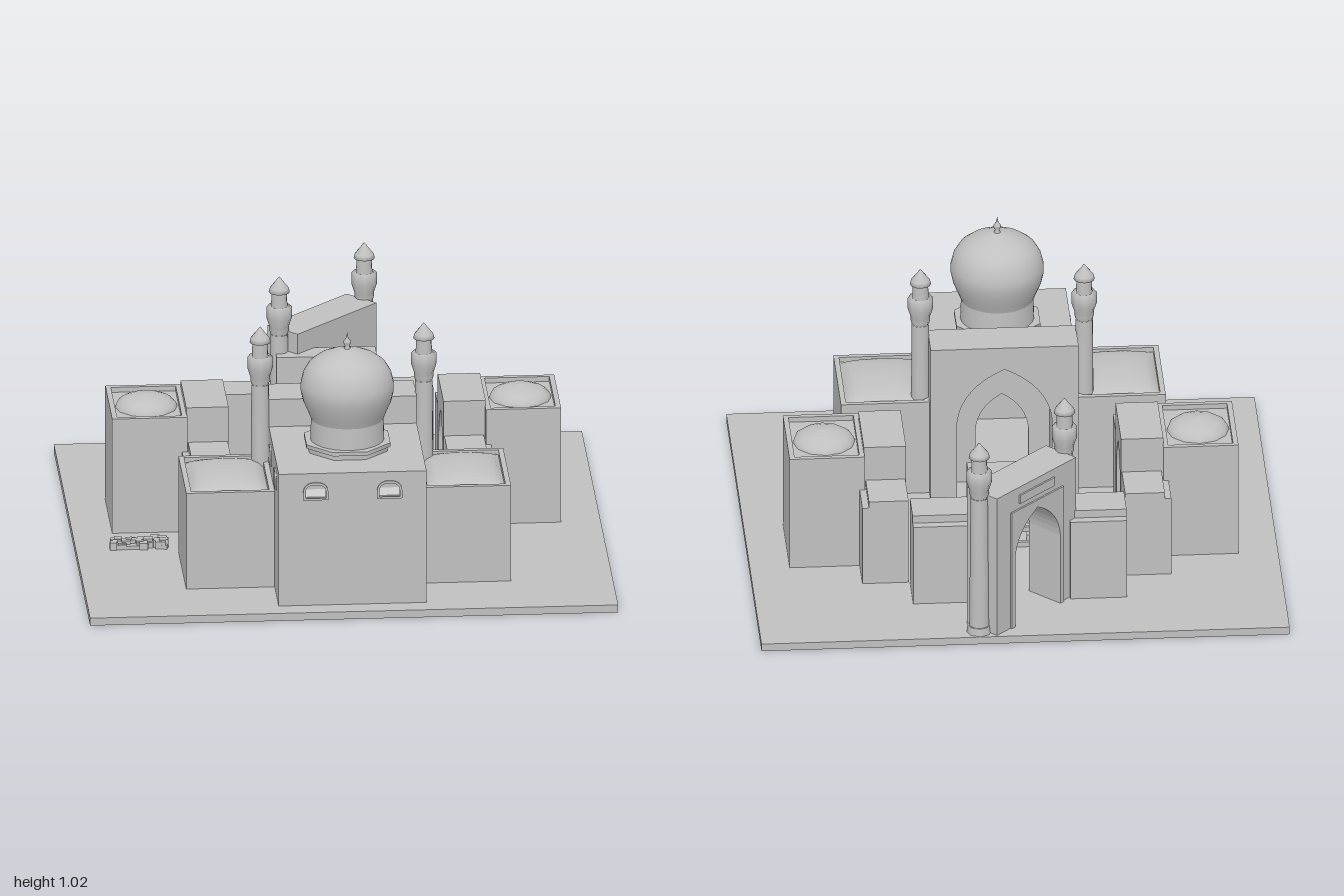
import * as THREE from 'three';

const stone = new THREE.MeshStandardMaterial({ color: 0xc0c0c0 });
stone.name = 'stone';
const glass = new THREE.MeshStandardMaterial({ color: 0xf8f8f8 });
glass.name = 'paleGlass';
const G = 0.03; // ground level, top of the plinth

function add(parent, name, geometry, x = 0, y = 0, z = 0, material = stone) {
  const m = new THREE.Mesh(geometry, material);
  m.name = name;
  m.position.set(x, y, z);
  parent.add(m);
  return m;
}

// box given by its limits
function block(parent, name, x0, x1, y0, y1, z0, z1) {
  return add(parent, name, new THREE.BoxGeometry(Math.abs(x1 - x0), y1 - y0, Math.abs(z1 - z0)),
    (x0 + x1) / 2, (y0 + y1) / 2, (z0 + z1) / 2);
}

function lathe(points, segments) {
  return new THREE.LatheGeometry(points.map(p => new THREE.Vector2(p[0], p[1])), segments);
}

function extrude(shape, depth) {
  return new THREE.ExtrudeGeometry(shape, { depth, bevelEnabled: false, curveSegments: 8 })
    .translate(0, 0, -depth / 2);
}

// right-to-left line of a pointed arch, from foot to foot
function archLine(path, half, foot, spring, apex) {
  path.lineTo(half, foot);
  path.lineTo(half, spring);
  path.quadraticCurveTo(half * 0.92, spring + (apex - spring) * 0.65, 0, apex);
  path.quadraticCurveTo(-half * 0.92, spring + (apex - spring) * 0.65, -half, spring);
  path.lineTo(-half, foot);
}

// wall block with an open pointed arch, centred on its own z
function archBlock(width, height, half, spring, apex, depth) {
  const s = new THREE.Shape();
  s.moveTo(-width / 2, G);
  s.lineTo(-width / 2, height);
  s.lineTo(width / 2, height);
  s.lineTo(width / 2, G);
  archLine(s, half, G, spring, apex);
  return extrude(s, depth);
}

function rectShape(w, y0, y1) {
  const s = new THREE.Shape();
  s.moveTo(-w / 2, y0);
  s.lineTo(w / 2, y0);
  s.lineTo(w / 2, y1);
  s.lineTo(-w / 2, y1);
  s.closePath();
  return s;
}

function windowPath(x, half, y0, y1) {
  const p = new THREE.Path();
  p.moveTo(x - half, y0);
  p.lineTo(x - half, y0 + 0.025);
  p.quadraticCurveTo(x - half, y1, x, y1);
  p.quadraticCurveTo(x + half, y1, x + half, y0 + 0.025);
  p.lineTo(x + half, y0);
  p.closePath();
  return p;
}

// hall wall with two arched windows; local +z is outside
function windowWall(width, height, xs, thick) {
  const g = new THREE.Group();
  g.name = 'windowWall';
  const s = rectShape(width, G, height);
  xs.forEach(x => s.holes.push(windowPath(x, 0.038, 0.462, 0.515)));
  add(g, 'wall', extrude(s, thick), 0, 0, -thick / 2);
  xs.forEach(x => {
    const f = new THREE.Shape(windowPath(x, 0.048, 0.454, 0.525).getPoints(8));
    f.holes.push(windowPath(x, 0.038, 0.462, 0.515));
    add(g, 'windowFrame', extrude(f, 0.006), 0, 0, 0.003);
    add(g, 'windowPane', new THREE.BoxGeometry(0.08, 0.036, 0.006), x, 0.478, -0.012, glass);
    add(g, 'windowHead', new THREE.BoxGeometry(0.08, 0.026, 0.008), x, 0.507, -0.012);
  });
  return g;
}

// minaret whose balcony and cap follow its top height
function minaret(parent, x, z, top) {
  const g = new THREE.Group();
  g.name = 'minaret';
  g.position.set(x, 0, z);
  add(g, 'shaft', lathe([[0.038, G], [0.033, top - 0.23]], 16));
  add(g, 'base', new THREE.CylinderGeometry(0.044, 0.048, 0.03, 8), 0, G + 0.015, 0);
  add(g, 'balcony', lathe([[0.033, top - 0.23], [0.037, top - 0.215], [0.037, top - 0.2],
    [0.048, top - 0.165], [0.048, top - 0.12], [0.03, top - 0.12]], 8));
  add(g, 'lantern', new THREE.CylinderGeometry(0.029, 0.031, 0.06, 12), 0, top - 0.09, 0);
  add(g, 'cap', lathe([[0.028, top - 0.065], [0.04, top - 0.062], [0.036, top - 0.045],
    [0.012, top - 0.015], [0.005, top - 0.005], [0, top]], 12));
  parent.add(g);
}

// box with a raised rim round a slightly sunken roof
function rimmedBlock(parent, name, x0, x1, z0, z1, top, sink) {
  const g = new THREE.Group(), t = 0.02;
  g.name = name;
  parent.add(g);
  const w = Math.abs(x1 - x0), d = z1 - z0;
  block(g, 'body', x0, x1, G, top - sink, z0, z1);
  const rim = rectShape(w, -d / 2, d / 2);
  rim.holes.push(new THREE.Path(rectShape(w - 2 * t, t - d / 2, d / 2 - t).getPoints().reverse()));
  add(g, 'roofRim', extrude(rim, sink).rotateX(-Math.PI / 2),
    (x0 + x1) / 2, top - sink / 2, (z0 + z1) / 2);
  return g;
}

export function createModel() {
  const model = new THREE.Group();
  model.name = 'domedCourtyardBuilding';
  block(model, 'plinth', -1, 1, 0, G, -0.95, 0.95);

  // main hall
  const hall = new THREE.Group();
  hall.name = 'mainHall';
  model.add(hall);
  const front = windowWall(0.56, 0.56, [-0.14, 0.14], 0.03);
  front.position.z = 0.87;
  hall.add(front);
  for (const s of [-1, 1]) {
    const side = windowWall(0.52, 0.56, [-0.15, 0.1].map(v => -s * v), 0.03);
    side.rotation.y = s * Math.PI / 2;
    side.position.set(s * 0.28, 0, 0.605);
    hall.add(side);
  }
  block(hall, 'hallRoof', -0.279, 0.279, 0.53, 0.56, 0.35, 0.869);
  add(hall, 'greatArch', archBlock(0.56, 0.67, 0.18, 0.36, 0.58, 0.17), 0, 0, 0.265);
  add(hall, 'innerDoorWall', archBlock(0.5, 0.62, 0.1, 0.25, 0.4, 0.02), 0, 0, 0.34);

  // great dome
  const dome = new THREE.Group();
  dome.name = 'greatDome';
  dome.position.z = 0.585;
  model.add(dome);
  add(dome, 'octagonBase', new THREE.CylinderGeometry(0.172, 0.172, 0.015, 8), 0, 0.588, 0).rotation.y = Math.PI / 8;
  add(dome, 'octagonFoot', new THREE.CylinderGeometry(0.16, 0.16, 0.025, 8), 0, 0.57, 0).rotation.y = Math.PI / 8;
  add(dome, 'drum', new THREE.CylinderGeometry(0.137, 0.14, 0.09, 32), 0, 0.64, 0);
  add(dome, 'shell', lathe([[0.138, 0.68], [0.15, 0.71], [0.167, 0.75], [0.176, 0.79], [0.176, 0.82],
    [0.166, 0.86], [0.145, 0.895], [0.11, 0.922], [0.065, 0.942], [0.025, 0.954], [0, 0.958]], 40));
  add(dome, 'finial', lathe([[0.016, 0.95], [0.008, 0.965], [0.014, 0.978], [0.014, 0.985],
    [0.005, 0.997], [0, 1.02]], 12));

  for (const s of [-1, 1]) {
    minaret(model, s * 0.31, 0.31, 0.95);

    // vaulted wings beside the hall
    const wing = rimmedBlock(model, 'vaultedWing', s * 0.28, s * 0.615, 0.25, 0.66, 0.415, 0.02);
    const vault = new THREE.PlaneGeometry(0.294, 0.37, 16, 16).rotateX(-Math.PI / 2);
    const p = vault.attributes.position;
    for (let i = 0; i < p.count; i++) {
      const u = p.getX(i) / 0.147, v = p.getZ(i) / 0.185;
      p.setY(i, 0.045 * Math.sqrt(Math.max(0, (1 - u * u) * (1 - v * v))));
    }
    vault.computeVertexNormals();
    add(wing, 'vault', vault, s * 0.4475, 0.396, 0.455);

    // side towers with shallow domes
    const tower = rimmedBlock(model, 'sideTower', s * 0.565, s * 0.85, -0.33, 0.035, 0.49, 0.02);
    add(tower, 'shallowDome', lathe([[0.118, 0.47], [0.112, 0.487], [0.09, 0.503], [0.055, 0.516], [0, 0.524]], 12),
      s * 0.708, 0, -0.15);

    // arched bay facing the courtyard
    const bay = add(model, 'sideArch', archBlock(0.3, 0.515, 0.1, 0.28, 0.43, 0.16), s * 0.487, 0, -0.15);
    bay.rotation.y = -s * Math.PI / 2;

    // courtyard walls with a lower outer ledge
    for (const [z0, z1] of [[-0.48, -0.3], [0, 0.18]]) {
      block(model, 'courtyardWall', s * 0.41, s * 0.56, G, 0.376, z0, z1);
      block(model, 'wallLedge', s * 0.56, s * 0.585, G, 0.35, z0, z1);
    }
    block(model, 'backWing', s * 0.19, s * 0.405, G, 0.386, -0.625, -0.48);
    block(model, 'backLedge', s * 0.19, s * 0.405, G, 0.355, -0.66, -0.625);
  }

  // back arch and the passage wall behind it
  add(model, 'backArch', archBlock(0.38, 0.53, 0.12, 0.28, 0.45, 0.1), 0, 0, -0.53);
  add(model, 'passageWall', new THREE.BoxGeometry(0.02, 0.43, 0.17), 0.123, 0.245, -0.66).rotation.y = -0.19;

  // gate turned to the back right corner
  const gate = new THREE.Group();
  gate.name = 'turnedGate';
  gate.position.set(0, 0, -0.727);
  gate.rotation.y = -Math.PI * 0.75;
  model.add(gate);
  add(gate, 'gateArch', archBlock(0.455, 0.61, 0.13, 0.32, 0.49, 0.15));
  add(gate, 'archFrame', (() => {
    const s = new THREE.Shape();
    s.moveTo(-0.15, G);
    s.lineTo(-0.15, 0.52);
    s.lineTo(0.15, 0.52);
    s.lineTo(0.15, G);
    archLine(s, 0.13, G, 0.32, 0.49);
    return extrude(s, 0.008);
  })(), 0, 0, 0.078);
  add(gate, 'gatePanel', new THREE.BoxGeometry(0.2, 0.035, 0.008), 0, 0.56, 0.078);
  minaret(model, -0.175, -0.553, 0.83);
  minaret(model, 0.172, -0.9, 0.83);

  // courtyard pool and loose paving
  const rim = rectShape(0.195, -0.07, 0.07);
  rim.holes.push(new THREE.Path(rectShape(0.165, -0.055, 0.055).getPoints().reverse()));
  add(model, 'poolRim', extrude(rim, 0.02).rotateX(-Math.PI / 2), 0, G + 0.01, -0.15);
  [[0.2, -0.035, 0.3], [-0.17, -0.24, -0.2], [-0.18, -0.03, 0.15]].forEach(([x, z, r]) => {
    add(model, 'pavingSlab', new THREE.BoxGeometry(0.19, 0.008, 0.12), x, G + 0.004, z).rotation.y = r;
  });

  // scattered rubble
  let seed = 7;
  const rand = () => (seed = (seed * 16807) % 2147483647) / 2147483647;
  const rubble = (n, x0, x1, z0, z1, high) => {
    for (let i = 0; i < n; i++) {
      const w = 0.018 + rand() * 0.022, h = 0.012 + rand() * high;
      add(model, 'rubble', new THREE.BoxGeometry(w, h, w * (0.8 + rand() * 0.3)),
        x0 + rand() * (x1 - x0), G + h / 2, z0 + rand() * (z1 - z0)).rotation.y = (rand() - 0.5) * 0.3;
    }
  };
  rubble(36, -0.32, -0.06, -0.4, 0.12, 0.015);
  rubble(22, 0, 0.32, -0.4, 0.12, 0.015);
  rubble(40, -0.86, -0.66, 0.13, 0.21, 0.02);
  return model;
}
